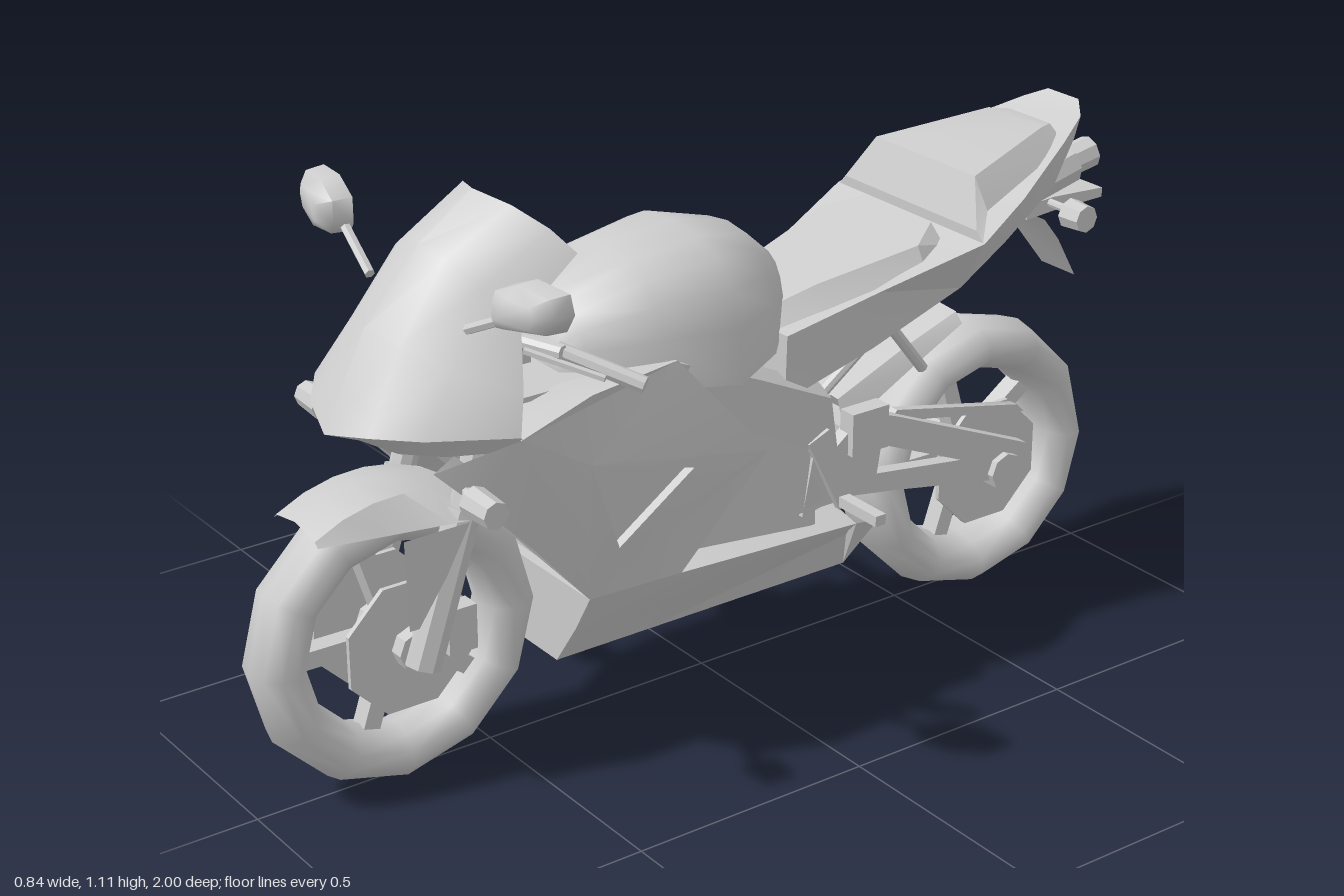
import * as THREE from 'three';
import { toCreasedNormals } from 'three/addons/utils/BufferGeometryUtils.js';

const grey = new THREE.MeshStandardMaterial({ color: 0xcccccc, side: THREE.DoubleSide });
grey.name = 'plain grey';

const V = (p) => new THREE.Vector3(...p);

function part(parent, name, geometry, crease = 0.7) {
  const mesh = new THREE.Mesh(toCreasedNormals(geometry, crease), grey);
  mesh.name = name;
  parent.add(mesh);
}

function indexed(points, index) {
  const g = new THREE.BufferGeometry();
  g.setAttribute('position', new THREE.Float32BufferAttribute(points.flat(), 3));
  g.setIndex(index);
  return g;
}

// Skin over rows of points; closed rows become capped tubes
function loft(rows, closed = false) {
  const n = rows[0].length, index = [];
  for (let r = 0; r < rows.length - 1; r++) {
    for (let i = 0; i < (closed ? n : n - 1); i++) {
      const a = r * n + i, b = r * n + (i + 1) % n;
      index.push(a, b, a + n, b, b + n, a + n);
    }
  }
  if (closed) {
    const last = (rows.length - 1) * n;
    for (let i = 1; i < n - 1; i++) index.push(0, i + 1, i, last, last + i, last + i + 1);
  }
  return indexed(rows.flat(), index);
}

// Thin side panel through points in space, with optional holes
function panel(outline, holes = []) {
  const flat = (list) => list.map(([, y, z]) => new THREE.Vector2(z, y));
  const faces = THREE.ShapeUtils.triangulateShape(flat(outline), holes.map(flat));
  return indexed([...outline, ...holes.flat()], faces.flat());
}

// Flat plate drawn in (z, y), centred on x
function plate(points, x, thickness, hole) {
  const shape = new THREE.Shape(points.map((p) => new THREE.Vector2(...p)));
  if (hole) shape.holes.push(new THREE.Path(hole.map((p) => new THREE.Vector2(...p))));
  const g = new THREE.ExtrudeGeometry(shape, { depth: thickness, bevelEnabled: false });
  return g.rotateY(-Math.PI / 2).translate(x + thickness / 2, 0, 0);
}

function rod(a, b, r0, r1 = r0, sides = 8) {
  const from = V(a), dir = V(b).sub(from);
  const g = new THREE.CylinderGeometry(r1, r0, dir.length(), sides);
  g.applyQuaternion(new THREE.Quaternion().setFromUnitVectors(new THREE.Vector3(0, 1, 0), dir.clone().normalize()));
  return g.translate(...from.addScaledVector(dir, 0.5).toArray());
}

const box = (w, h, d, x, y, z) => new THREE.BoxGeometry(w, h, d).translate(x, y, z);
const mirrorRow = (half) => [...half, ...half.slice(0, -1).reverse().map(([x, y, z]) => [-x, y, z])];

function wheel(parent, name, z, halfWidth, discX) {
  const g = new THREE.Group();
  g.name = name;
  g.position.set(0, 0.297, z);
  part(g, 'tyre', new THREE.TorusGeometry(0.242, 0.053, 10, 12).rotateY(Math.PI / 2).scale(halfWidth / 0.053, 1, 1), 3);
  for (let i = 0; i < 5; i++) {
    part(g, 'spoke', box(0.04, 0.17, 0.035, 0, 0.115, 0).rotateX(i * Math.PI * 0.4 + 0.3));
  }
  part(g, 'hub', rod([-0.1, 0, 0], [0.1, 0, 0], 0.04));
  for (const x of discX) {
    part(g, 'brakeDisc', new THREE.CylinderGeometry(0.137, 0.137, 0.01, 8).rotateY(Math.PI / 8).rotateZ(Math.PI / 2).translate(x, 0, 0));
  }
  parent.add(g);
}

function buildSide() {
  const s = new THREE.Group();
  // Side fairing with a shallow triangular vent
  const front = [[0.2, 0.69, 0.72], [0.23, 0.61, 0.64], [0.225, 0.5, 0.54], [0.2, 0.35, 0.4]];
  const top = [[0.265, 0.74, 0.58], [0.25, 0.78, 0.42], [0.2, 0.775, 0.2]];
  const vent = [[0.257, 0.65, 0.43], [0.25, 0.58, 0.2], [0.24, 0.46, 0.36]];
  part(s, 'sideFairing', panel([...front, [0.21, 0.35, 0.2], [0.25, 0.57, 0.03], ...top.slice().reverse()], [vent]), 0.5);
  const recess = vent.map(([x, y, z]) => [x - 0.02, y, z]);
  part(s, 'ventWall', loft([[...vent, vent[0]], [...recess, recess[0]]]), 0.3);
  part(s, 'ventBack', panel(recess));
  part(s, 'fairingInnerLip', loft([front, front.map(([, y, z]) => [0.155, y, z - 0.07])]), 0.3);
  part(s, 'fairingTopDeck', loft([top, top.map(([, y, z]) => [0.14, y - 0.015, z])]), 0.5);
  // Frame spar, engine side plate and subframe
  part(s, 'frameSpar', loft([
    [[0.17, 0.78, 0.24], [0.2, 0.77, 0.2], [0.19, 0.65, 0.22], [0.15, 0.65, 0.22]],
    [[0.13, 0.7, 0], [0.18, 0.68, 0], [0.18, 0.57, 0], [0.13, 0.57, 0]],
    [[0.11, 0.6, -0.2], [0.15, 0.58, -0.2], [0.15, 0.48, -0.16], [0.11, 0.48, -0.16]],
    [[0.1, 0.36, -0.24], [0.14, 0.36, -0.24], [0.14, 0.34, -0.14], [0.1, 0.34, -0.14]],
  ], true), 0.3);
  part(s, 'engineSidePlate', plate([[0.06, 0.58], [-0.13, 0.58], [-0.2, 0.5], [-0.22, 0.35], [0.2, 0.35]], 0.135, 0.012));
  part(s, 'subframeStrut', rod([0.1, 0.56, -0.2], [0.1, 0.72, -0.42], 0.012));
  part(s, 'subframeBrace', rod([0.1, 0.56, -0.47], [0.1, 0.7, -0.36], 0.012));
  // Swingarm truss
  part(s, 'swingarm', plate([[-0.2, 0.36], [-0.38, 0.33], [-0.72, 0.265], [-0.73, 0.34], [-0.38, 0.49], [-0.3, 0.52], [-0.22, 0.46]],
    0.12, 0.03, [[-0.33, 0.38], [-0.34, 0.44], [-0.55, 0.35]]));
  part(s, 'axleBlock', rod([0.1, 0.297, -0.665], [0.15, 0.297, -0.665], 0.04));
  part(s, 'swingarmLink', box(0.04, 0.09, 0.09, 0.13, 0.485, -0.3));
  // Foot peg
  part(s, 'footPeg', box(0.13, 0.022, 0.025, 0.205, 0.358, -0.23));
  part(s, 'pegBracket', plate([[-0.14, 0.5], [-0.19, 0.52], [-0.25, 0.36], [-0.22, 0.34]], 0.15, 0.015));
  // Fork leg and caliper
  part(s, 'forkTube', rod([0.105, 0.5, 0.625], [0.105, 0.86, 0.51], 0.026));
  part(s, 'forkSlider', rod([0.108, 0.27, 0.705], [0.108, 0.56, 0.605], 0.036, 0.033));
  part(s, 'caliper', box(0.04, 0.09, 0.06, 0.095, 0.32, 0.62));
  part(s, 'forkGuard', panel([[0.14, 0.545, 0.75], [0.14, 0.545, 0.6], [0.13, 0.36, 0.72], [0.13, 0.36, 0.74]]));
  // Handlebar, lever and mirror
  part(s, 'handlebar', rod([0.1, 0.86, 0.5], [0.22, 0.86, 0.46], 0.014));
  part(s, 'grip', rod([0.2, 0.86, 0.46], [0.325, 0.81, 0.36], 0.016));
  part(s, 'lever', rod([0.17, 0.86, 0.51], [0.29, 0.825, 0.42], 0.007, 0.007, 5));
  part(s, 'mirrorStalk', rod([0.165, 0.925, 0.62], [0.3, 0.99, 0.6], 0.01, 0.01, 6));
  const mirrorFace = [[0.27, 0.985], [0.285, 0.965], [0.4, 0.985], [0.42, 1.02], [0.41, 1.055], [0.33, 1.06], [0.27, 1.035]];
  const mirrorRing = (k, z) => mirrorFace.map(([x, y]) => [0.345 + (x - 0.345) * k, 1.01 + (y - 1.01) * k, z - x * 0.15]);
  part(s, 'mirror', loft([mirrorRing(1, 0.63), mirrorRing(0.95, 0.67), mirrorRing(0.6, 0.695)], true), 1.2);
  // Turn signals
  part(s, 'frontSignalStem', rod([0.2, 0.65, 0.66], [0.27, 0.65, 0.68], 0.01));
  part(s, 'frontSignal', rod([0.256, 0.648, 0.675], [0.33, 0.648, 0.675], 0.03, 0.026));
  part(s, 'rearSignalStem', rod([0.02, 0.81, -0.85], [0.12, 0.81, -0.85], 0.009));
  part(s, 'rearSignal', rod([0.1, 0.805, -0.85], [0.15, 0.805, -0.85], 0.032, 0.028));
  // Under-tail exhaust
  part(s, 'exhaust', rod([0.05, 0.82, -0.58], [0.055, 0.895, -0.88], 0.043));
  part(s, 'exhaustTip', rod([0.055, 0.895, -0.87], [0.06, 0.91, -0.935], 0.033));
  return s;
}

export function createModel() {
  const bike = new THREE.Group();
  bike.name = 'sportMotorcycle';
  wheel(bike, 'frontWheel', 0.705, 0.068, [-0.065, 0.065]);
  wheel(bike, 'rearWheel', -0.665, 0.091, [0.08]);

  const left = buildSide();
  left.name = 'leftSide';
  const right = buildSide();
  right.name = 'rightSide';
  right.scale.x = -1;
  bike.add(left, right);
  // Engine covers on the right only
  part(right, 'clutchCover', rod([0.12, 0.46, -0.06], [0.18, 0.46, -0.06], 0.08, 0.065, 6));
  part(right, 'smallCover', rod([0.12, 0.42, 0.08], [0.17, 0.42, 0.08], 0.055, 0.045, 6));

  // Nose cowl and windscreen, with the lip tucked under
  const cowl = [
    [[0.25, 0.71, 0.55], [0.18, 0.705, 0.68], [0.1, 0.695, 0.73], [0, 0.69, 0.75]],
    [[0.265, 0.745, 0.58], [0.19, 0.75, 0.73], [0.1, 0.74, 0.79], [0, 0.72, 0.82]],
    [[0.245, 0.82, 0.56], [0.17, 0.85, 0.66], [0.08, 0.885, 0.71], [0, 0.90, 0.73]],
    [[0.195, 0.93, 0.53], [0.14, 0.98, 0.58], [0.07, 1.02, 0.605], [0, 1.03, 0.615]],
    [[0.18, 1.02, 0.4], [0.14, 1.06, 0.43], [0.08, 1.095, 0.47], [0, 1.11, 0.5]],
  ];
  part(bike, 'noseCowl', loft(cowl.map(mirrorRow)), 0.6);
  part(bike, 'instrumentPanel', box(0.24, 0.03, 0.12, 0, 0.87, 0.55));
  part(bike, 'cockpitDeck', box(0.3, 0.01, 0.28, 0, 0.755, 0.46));
  part(bike, 'topYoke', box(0.26, 0.03, 0.08, 0, 0.83, 0.51));
  part(bike, 'radiator', box(0.3, 0.34, 0.04, 0, 0.53, 0.37));

  // Fuel tank: arched sections [z, half width, bottom, top]
  const tank = [[0.385, 0.09, 0.76, 0.79], [0.345, 0.125, 0.74, 0.88], [0.22, 0.19, 0.72, 0.94], [0.07, 0.22, 0.7, 0.962],
    [-0.06, 0.155, 0.71, 0.93], [-0.135, 0.08, 0.73, 0.865], [-0.158, 0.04, 0.74, 0.8]];
  part(bike, 'fuelTank', loft(tank.map(([z, w, lo, hi]) => Array.from({ length: 11 }, (_, i) => {
    const a = Math.PI * i / 10, c = Math.cos(a), q = Math.abs(Math.sin(a));
    return [w * Math.sign(c) * Math.abs(c) ** 0.8, lo + (hi - lo) * q ** 0.75, z];
  })), true), 1);

  // Tail and seats: box sections [z, top half width, top, bottom half width, bottom]
  const slab = (rows) => loft(rows.map(([z, tw, ty, bw, by]) => [[tw, ty, z], [-tw, ty, z], [-bw, by, z], [bw, by, z]]), true);
  part(bike, 'tail', slab([[-0.09, 0.15, 0.735, 0.145, 0.6], [-0.3, 0.165, 0.78, 0.15, 0.66], [-0.51, 0.225, 0.85, 0.16, 0.74],
    [-0.64, 0.19, 0.905, 0.14, 0.8], [-0.8, 0.125, 0.97, 0.1, 0.87], [-0.88, 0.085, 1.0, 0.07, 0.95], [-0.91, 0.045, 1.02, 0.04, 0.995]]), 0.3);
  part(bike, 'riderSeat', slab([[-0.1, 0.08, 0.77, 0.12, 0.73], [-0.2, 0.1, 0.8, 0.14, 0.75], [-0.41, 0.145, 0.845, 0.17, 0.8],
    [-0.48, 0.1, 0.865, 0.14, 0.83]]), 0.3);
  part(bike, 'passengerSeat', slab([[-0.51, 0.2, 0.87, 0.22, 0.85], [-0.545, 0.15, 0.96, 0.19, 0.9], [-0.78, 0.08, 0.995, 0.12, 0.95],
    [-0.82, 0.06, 0.99, 0.09, 0.97]]), 0.3);
  part(bike, 'plateHolder', slab([[-0.78, 0.05, 0.82, 0.05, 0.79], [-0.86, 0.04, 0.82, 0.04, 0.79], [-1, 0.035, 0.81, 0.035, 0.79]]));
  part(bike, 'licencePlate', loft([[[0.07, 0.79, -0.81], [-0.07, 0.79, -0.81]], [[0.07, 0.74, -0.85], [-0.07, 0.74, -0.85]],
    [[0.05, 0.64, -0.92], [-0.05, 0.64, -0.92]]]));

  // Belly pan
  const hull = (w, z, y) => [[w, y, z[0]], [w * 0.76, 0.27, z[1]], [0.085, 0.175, z[2]], [-0.085, 0.175, z[2]], [-w * 0.76, 0.27, z[1]], [-w, y, z[0]]];
  part(bike, 'bellyPan', loft([hull(0.2, [0.4, 0.4, 0.4], 0.35), hull(0.21, [0.2, 0.2, 0.2], 0.35),
    hull(0.16, [-0.26, -0.35, -0.29], 0.3)], true), 0.3);

  // Engine block and rear shock
  part(bike, 'crankcase', box(0.26, 0.22, 0.36, 0, 0.42, 0.0));
  part(bike, 'cylinderBlock', box(0.26, 0.24, 0.2, 0, 0.6, 0.14));
  part(bike, 'gearbox', box(0.2, 0.2, 0.14, 0, 0.46, -0.17));
  part(bike, 'rearShock', rod([0, 0.4, -0.25], [0, 0.66, -0.22], 0.035));
  part(bike, 'swingarmBridge', box(0.24, 0.07, 0.06, 0, 0.44, -0.31));

  // Front mudguard: arched strip with a level lower edge
  part(bike, 'frontMudguard', loft(Array.from({ length: 6 }, (_, i) => {
    const a = 0.98 + i * 0.195, w = 0.08 + i * 0.013, r = 0.328 - i * 0.004;
    const y = 0.297 + r * Math.sin(a), z = 0.705 + r * Math.cos(a);
    return mirrorRow([[w, Math.min(0.548, y - 0.015), z], [0.07, y - 0.012, z], [0, y, z]]);
  })), 0.5);
  // Rear hugger and chain guard
  const hugger = [[0.53, -0.28], [0.6, -0.45], [0.645, -0.58]];
  part(bike, 'rearHugger', loft(hugger.map(([y, z], i) => mirrorRow([[0.09, y - 0.06 + i * 0.02, z], [0.07, y, z], [0, y + 0.005, z]]))), 0.5);
  part(bike, 'chainGuard', plate([[-0.38, 0.47], [-0.4, 0.49], [-0.72, 0.42], [-0.74, 0.4]], 0.1, 0.02));
  return bike;
}
